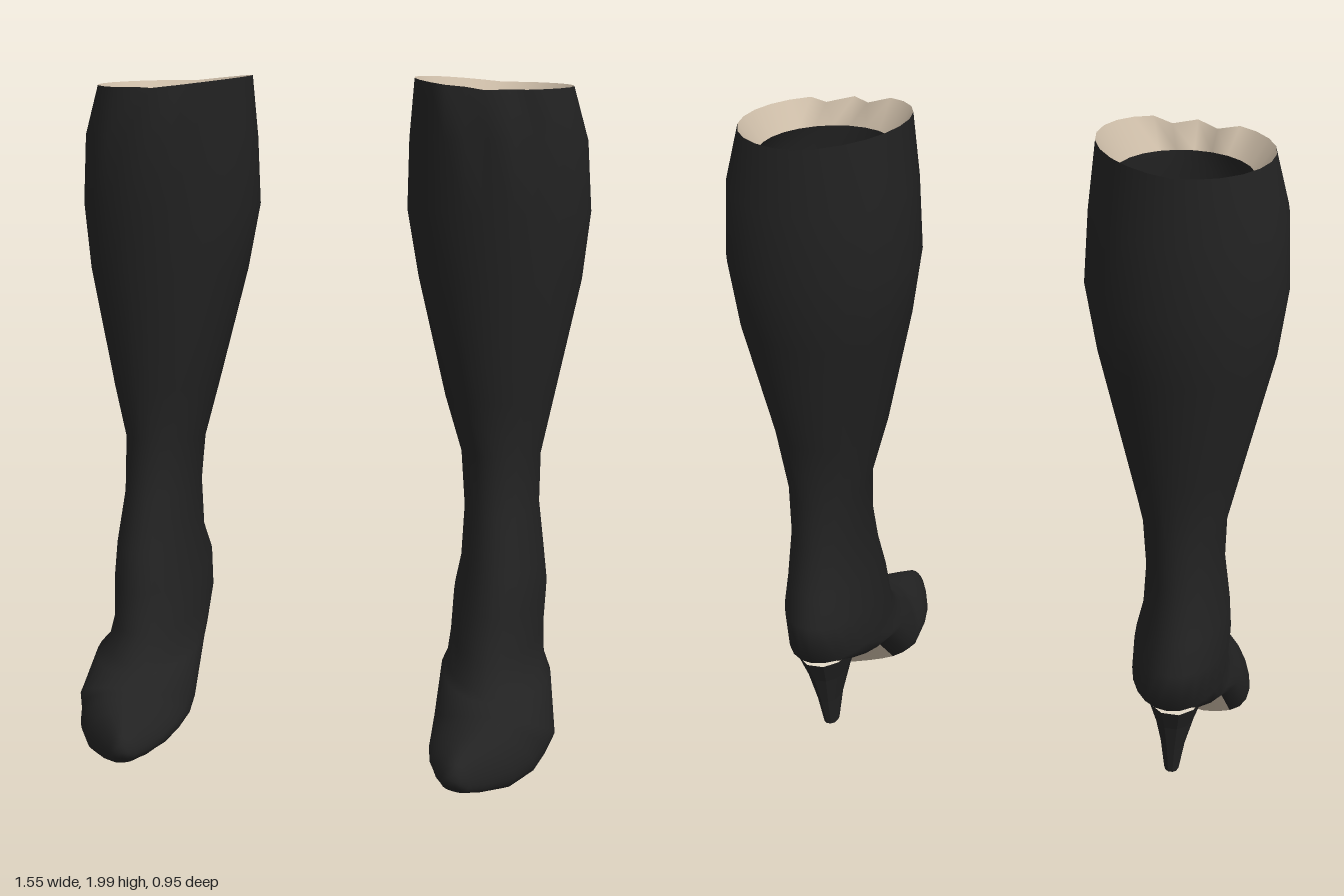
import * as THREE from 'three';

const leather = new THREE.MeshStandardMaterial({ color: 0x222222 });
leather.name = 'black leather';
const cream = new THREE.MeshStandardMaterial({ color: 0xcdbda8 });
cream.name = 'cream lining';

const N = 24; // points around each cross-section

// Cross-sections: [front z, front y, back z, back y, inner x, outer x]
const SHAFT = [
  [0.05, 1.965, -0.46, 1.975, 0.25, 0.715],
  [0.05, 1.83, -0.47, 1.8, 0.235, 0.76],
  [0.04, 1.62, -0.475, 1.6, 0.23, 0.775],
  [0.03, 1.42, -0.445, 1.4, 0.268, 0.755],
  [0, 1.06, -0.37, 1.05, 0.358, 0.685],
  [-0.02, 0.9, -0.365, 0.86, 0.41, 0.65],
  [0.01, 0.72, -0.375, 0.72, 0.425, 0.65],
  [0.07, 0.56, -0.405, 0.57, 0.42, 0.67],
  [0.1, 0.44, -0.45, 0.49, 0.4, 0.68],
  [0.13, 0.32, -0.45, 0.37, 0.395, 0.675],
];
// In the foot, front turns into the instep and back into the sole
const FOOT = [
  [0.19, 0.245, -0.3, 0.27, 0.39, 0.685],
  [0.22, 0.225, -0.18, 0.235, 0.38, 0.71],
  [0.28, 0.205, 0, 0.045, 0.375, 0.735],
  [0.3, 0.2, 0.08, 0.01, 0.375, 0.715],
  [0.33, 0.187, 0.2, 0.003, 0.38, 0.69],
  [0.37, 0.172, 0.31, 0.003, 0.395, 0.64],
  [0.42, 0.153, 0.4, 0.013, 0.422, 0.57],
  [0.46, 0.134, 0.455, 0.03, 0.445, 0.525],
  [0.475, 0.11, 0.475, 0.06, 0.462, 0.505],
];

// One ring of points; scale shrinks it about its centre, drop lowers it,
// bias moves the widest point toward the sole and rolls the sole inward
function ring([fz, fy, bz, by, xi, xo], { scale = 1, drop = 0, bias = 0, cuff = false } = {}) {
  return Array.from({ length: N }, (_, i) => {
    const a = (i / N) * Math.PI * 2, s = Math.sin(a);
    const t = (Math.cos(a) - bias * s * s) * scale;
    const x = (xi + xo) / 2 + ((xo - xi) / 2) * s * scale;
    let y = (fy + by) / 2 + ((fy - by) / 2) * t - drop;
    let z = (fz + bz) / 2 + ((fz - bz) / 2) * t;
    y += bias * 0.3 * Math.max(0, 0.6 - x) * (1 - Math.cos(a));
    if (cuff) {
      y += 0.025 * Math.max(0, -s);
      if (i === 1 || i === N - 1) z -= 0.06; // folds either side of the front
    }
    return [x, y, z];
  });
}

// Skin a list of rings. side = 1 or -1 mirrors in x, inward turns the faces in,
// cap closes the last ring, isSecond(row, column) picks the second material.
function loft(rings, side, { inward = false, cap = false, isSecond = () => false } = {}) {
  const n = rings[0].length, pos = [], groups = [[], []];
  rings.forEach(r => r.forEach(([x, y, z]) => pos.push(x * side, y, z)));
  const flip = (side < 0) !== inward;
  const tri = (g, a, b, c) => groups[g].push(a, ...(flip ? [c, b] : [b, c]));
  for (let r = 0; r < rings.length - 1; r++) {
    for (let i = 0; i < n; i++) {
      const a = r * n + i, b = r * n + (i + 1) % n, g = isSecond(r, i) ? 1 : 0;
      tri(g, a, a + n, b + n);
      tri(g, a, b + n, b);
    }
  }
  if (cap) {
    const last = rings[rings.length - 1], base = (rings.length - 1) * n;
    const mid = [0, 1, 2].map(k => last.reduce((sum, p) => sum + p[k], 0) / n);
    pos.push(mid[0] * side, mid[1], mid[2]);
    for (let i = 0; i < n; i++) tri(0, base + i, base + n, base + (i + 1) % n);
  }
  const geo = new THREE.BufferGeometry();
  geo.setAttribute('position', new THREE.Float32BufferAttribute(pos, 3));
  geo.setIndex([...groups[0], ...groups[1]]);
  geo.addGroup(0, groups[0].length, 0);
  geo.addGroup(groups[0].length, groups[1].length, 1);
  geo.computeVertexNormals();
  return geo;
}

// Heel section: flat front edge, rounded back
function heelRing(y, zFront, zBack, half) {
  const outline = [[-1, 0], [1, 0], [1, 0.4], [0.75, 0.8], [0.3, 1], [-0.3, 1], [-0.75, 0.8], [-1, 0.4]];
  return outline.map(([x, t]) => [0.54 + x * half, y, zFront + (zBack - zFront) * t]);
}

function createBoot(side) {
  const boot = new THREE.Group();
  const add = (name, geo, mat) => {
    const mesh = new THREE.Mesh(geo, mat);
    mesh.name = name;
    boot.add(mesh);
    return mesh;
  };

  // Shaft and foot, with the sole as the underside columns
  const shaft = SHAFT.map((s, k) => ring(s, { cuff: k === 0 }));
  const foot = FOOT.map((s, k) => ring(s, { bias: 0.5 * Math.sin((Math.PI * (k + 1)) / (FOOT.length + 1)) }));
  const soleReach = [2, 3, 3, 3, 3, 3, 1, 0]; // half-width in columns, heel to toe
  add('upperAndSole', loft([...shaft, ...foot], side, {
    cap: true,
    isSecond: (r, i) => {
      const reach = soleReach[r - SHAFT.length] ?? 0;
      return i >= N / 2 - reach && i < N / 2 + reach;
    },
  }), [leather, cream]);

  // Cream band inside the cuff, then the dark inside of the shaft
  const bandEnd = ring(SHAFT[0], { scale: 0.79, drop: 0.07 });
  add('cuffLining', loft([shaft[0], bandEnd], side, { inward: true }), cream);
  const inner = SHAFT.slice(1).map((s, k) => ring(s, { scale: k === 0 ? 0.8 : 0.9 }));
  add('shaftInside', loft([bandEnd, ...inner], side, { inward: true, cap: true }), leather);

  // Insole at the bottom of the opening
  const insole = add('insole', new THREE.CircleGeometry(1, 20), cream);
  insole.scale.set(0.11, 0.16, 1);
  insole.rotation.x = -Math.PI / 2;
  insole.position.set(0.54 * side, 0.385, -0.16);

  // Tapered heel with a cream front face
  const heel = loft([
    heelRing(0.33, -0.235, -0.41, 0.085),
    heelRing(0.25, -0.255, -0.375, 0.06),
    heelRing(0.15, -0.275, -0.348, 0.036),
    heelRing(0.05, -0.285, -0.325, 0.022),
  ], side, { cap: true, isSecond: (r, i) => i === 0 }).toNonIndexed();
  heel.computeVertexNormals();
  add('heel', heel, [leather, cream]);
  return boot;
}

export function createModel() {
  const model = new THREE.Group();
  model.name = 'pairOfBoots';
  for (const [name, side] of [['leftBoot', 1], ['rightBoot', -1]]) {
    const boot = createBoot(side);
    boot.name = name;
    model.add(boot);
  }
  return model;
}
